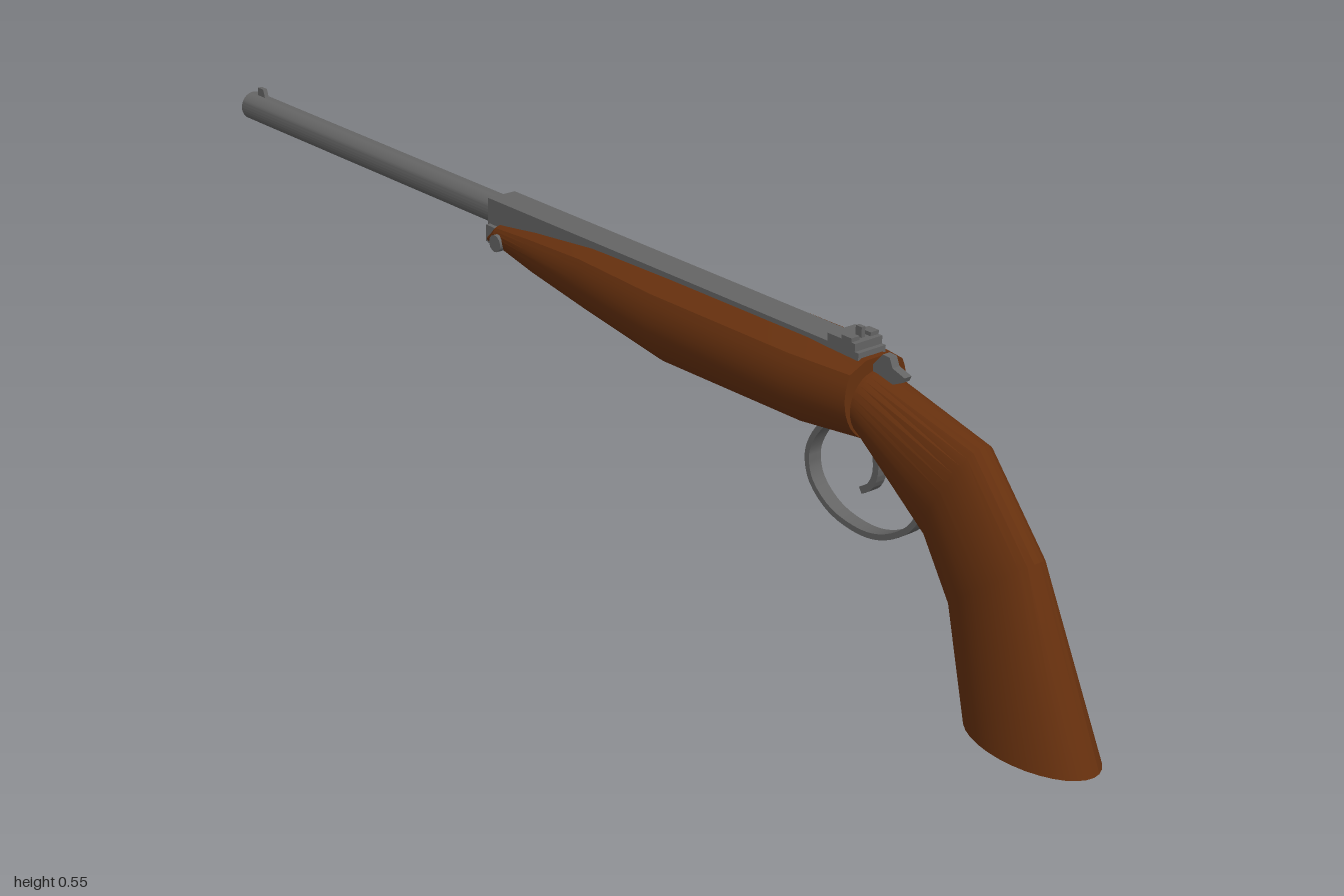
import * as THREE from 'three';
import { toCreasedNormals } from 'three/addons/utils/BufferGeometryUtils.js';

const wood = new THREE.MeshStandardMaterial({ color: 0x66300e });
wood.name = 'walnut wood';
const steel = new THREE.MeshStandardMaterial({ color: 0x646464 });
steel.name = 'grey steel';

function add(parent, name, geometry, material, x = 0, y = 0, z = 0) {
  const mesh = new THREE.Mesh(geometry, material);
  mesh.name = name;
  mesh.position.set(x, y, z);
  parent.add(mesh);
  return mesh;
}

// Skin a row of closed rings and cap both ends
function loft(rings) {
  const out = [];
  const tri = (...pts) => pts.forEach((p) => out.push(p.x, p.y, p.z));
  const middle = (r) => r.reduce((s, p) => s.add(p), new THREE.Vector3()).divideScalar(r.length);
  const n = rings[0].length;
  const first = rings[0], last = rings[rings.length - 1];
  const c0 = middle(first), c1 = middle(last);
  for (let i = 0; i < n; i++) {
    const j = (i + 1) % n;
    for (let k = 0; k < rings.length - 1; k++) {
      const a = rings[k], b = rings[k + 1];
      tri(a[i], a[j], b[j]);
      tri(a[i], b[j], b[i]);
    }
    tri(c0, first[j], first[i]);
    tri(c1, last[i], last[j]);
  }
  const g = new THREE.BufferGeometry();
  g.setAttribute('position', new THREE.Float32BufferAttribute(out, 3));
  return toCreasedNormals(g, 0.25);
}

// Oval ring between a back point and a front point in the z-y plane
function gripRing([zBack, yBack, zFront, yFront, w]) {
  return Array.from({ length: 32 }, (_, i) => {
    const t = (i / 32) * Math.PI * 2, s = Math.sin(t) / 2;
    return new THREE.Vector3(
      w * Math.cos(t),
      (yBack + yFront) / 2 + (yFront - yBack) * s,
      (zBack + zFront) / 2 + (zFront - zBack) * s
    );
  });
}

// Round-bellied ring with sloping shoulders and a flat top
function stockRing([z, top, bottom, w]) {
  const h = top - bottom, pts = [new THREE.Vector3(0.02, top, z)];
  for (let i = 0; i <= 24; i++) {
    const t = 0.55 - (i / 24) * (Math.PI + 1.1);
    pts.push(new THREE.Vector3(w * Math.cos(t), top - 0.42 * h + 0.58 * h * Math.sin(t), z));
  }
  pts.push(new THREE.Vector3(-0.02, top, z));
  return pts;
}

// Side outline given as (z, y) points, extruded across x
function sidePlate(points, width) {
  const shape = new THREE.Shape(points.map(([z, y]) => new THREE.Vector2(-z, y)));
  const g = new THREE.ExtrudeGeometry(shape, { depth: width, bevelEnabled: false });
  g.translate(0, 0, -width / 2);
  g.rotateY(Math.PI / 2);
  return g;
}

// Flat strip following a curve through (z, y) points
function strip(points, thickness, width) {
  const curve = new THREE.SplineCurve(points.map(([z, y]) => new THREE.Vector2(z, y)));
  const outer = [], inner = [];
  for (let i = 0; i <= 32; i++) {
    const p = curve.getPoint(i / 32), t = curve.getTangent(i / 32);
    const nx = (-t.y * thickness) / 2, ny = (t.x * thickness) / 2;
    outer.push([p.x + nx, p.y + ny]);
    inner.unshift([p.x - nx, p.y - ny]);
  }
  return toCreasedNormals(sidePlate([...outer, ...inner], width), 0.5);
}

export function createModel() {
  const model = new THREE.Group();
  model.name = 'shortRifle';

  // Wooden grip: back z, back y, front z, front y, half width
  add(model, 'grip', loft([
    [0.998, 0.0, 0.77, 0.012, 0.068],
    [0.88, 0.28, 0.727, 0.166, 0.047],
    [0.77, 0.415, 0.68, 0.25, 0.047],
    [0.567, 0.465, 0.56, 0.364, 0.05],
    [0.5, 0.468, 0.5, 0.37, 0.05],
  ].map(gripRing)), wood);

  // Wooden forestock: z, top, bottom, half width
  add(model, 'forestock', loft([
    [0.56, 0.484, 0.361, 0.061],
    [0.45, 0.491, 0.353, 0.078],
    [0.15, 0.498, 0.357, 0.077],
    [-0.03, 0.5, 0.386, 0.064],
    [-0.17, 0.49, 0.412, 0.052],
    [-0.26, 0.48, 0.435, 0.043],
    [-0.28, 0.46, 0.441, 0.038],
  ].map(stockRing)), wood);

  // Barrel assembly, tilted slightly upward toward the muzzle
  const barrel = new THREE.Group();
  barrel.name = 'barrelAssembly';
  barrel.position.y = 0.482;
  barrel.rotation.x = 0.027;
  model.add(barrel);

  // Hollow tube: the profile runs down the outside and back up the bore
  const profile = [[0, 0.5], [0.0245, 0.5], [0.0245, -1], [0.016, -1], [0.016, -0.85], [0, -0.85]]
    .map(([r, z]) => new THREE.Vector2(r, -z));
  const tube = toCreasedNormals(new THREE.LatheGeometry(profile, 32), 0.5);
  tube.rotateX(-Math.PI / 2);
  add(barrel, 'barrel', tube, steel);
  add(barrel, 'receiver', new THREE.BoxGeometry(0.054, 0.053, 0.84), steel, 0, -0.0005, 0.13);
  add(barrel, 'receiverNose', sidePlate([
    [-0.2, 0.0], [-0.2, -0.035], [-0.235, -0.05], [-0.29, -0.05], [-0.29, 0.0],
  ], 0.054), steel);
  add(barrel, 'noseBracket', new THREE.BoxGeometry(0.07, 0.028, 0.022), steel, 0, -0.03, -0.274);

  // Front sight blade
  add(barrel, 'frontSight', sidePlate([
    [-0.955, 0.02], [-0.962, 0.038], [-0.978, 0.038], [-0.978, 0.02],
  ], 0.008), steel);

  // Rear sight: base, two ears and a centre post
  add(barrel, 'rearSightBase', new THREE.BoxGeometry(0.054, 0.016, 0.055), steel, 0, 0.03, 0.515);
  for (const side of [-1, 1]) {
    add(barrel, 'rearSightEar', new THREE.BoxGeometry(0.016, 0.008, 0.02), steel, side * 0.019, 0.04, 0.525);
  }
  add(barrel, 'rearSightPost', new THREE.BoxGeometry(0.007, 0.02, 0.012), steel, 0, 0.044, 0.525);

  // Hammer behind the receiver
  add(model, 'hammer', sidePlate([
    [0.555, 0.455], [0.56, 0.475], [0.578, 0.495], [0.592, 0.494],
    [0.598, 0.48], [0.622, 0.472], [0.618, 0.464], [0.59, 0.452],
  ], 0.014), steel);

  // Cross pin with round heads at the nose of the stock
  const pin = new THREE.CylinderGeometry(0.014, 0.014, 0.1, 20);
  pin.rotateZ(Math.PI / 2);
  add(model, 'crossPin', pin, steel, 0, 0.455, -0.245);

  // Trigger guard loop and trigger
  add(model, 'triggerGuard', strip([
    [0.67, 0.29], [0.645, 0.252], [0.6, 0.224], [0.55, 0.215], [0.49, 0.227],
    [0.448, 0.26], [0.437, 0.3], [0.45, 0.335], [0.475, 0.365],
  ], 0.009, 0.024), steel);
  add(model, 'trigger', strip([
    [0.562, 0.38], [0.572, 0.34], [0.573, 0.312], [0.563, 0.29], [0.545, 0.278],
  ], 0.011, 0.018), steel);

  return model;
}
